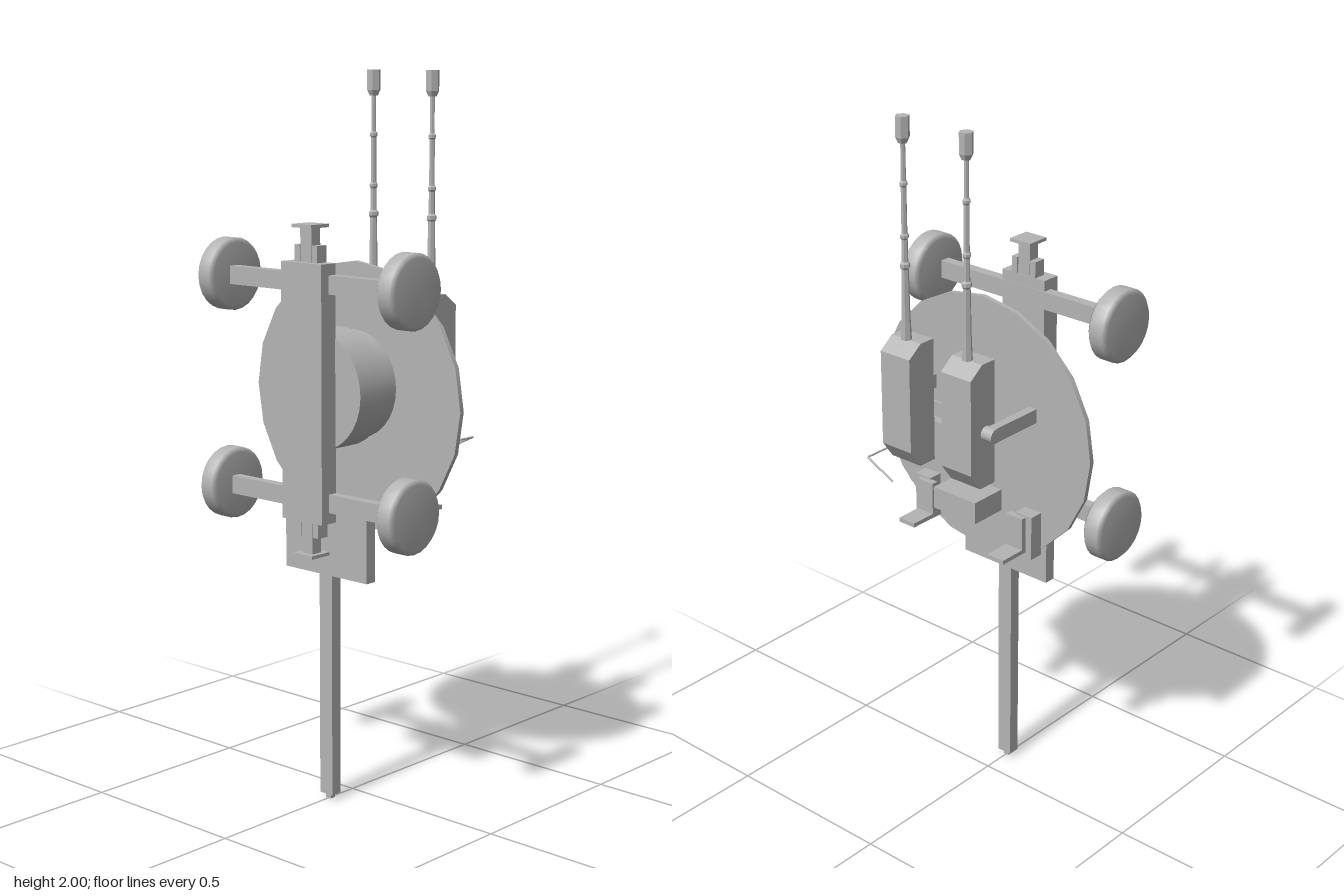
import * as THREE from 'three';

const grey = new THREE.MeshStandardMaterial({ color: 0xb4b4b4 });
grey.name = 'grey';

export function createModel() {
  const root = new THREE.Group();
  root.name = 'carriageWithPlatform';

  const add = (name, geo) => {
    const m = new THREE.Mesh(geo, grey);
    m.name = name;
    root.add(m);
    return m;
  };
  // Box given by its limits on each axis
  const box = (name, x0, x1, y0, y1, z0, z1) => {
    const m = add(name, new THREE.BoxGeometry(Math.abs(x1 - x0), y1 - y0, z1 - z0));
    m.position.set((x0 + x1) / 2, (y0 + y1) / 2, (z0 + z1) / 2);
    return m;
  };
  // Drum lying along z
  const drum = (name, r, y, z0, z1, seg) => {
    const m = add(name, new THREE.CylinderGeometry(r, r, z1 - z0, seg).rotateX(Math.PI / 2));
    m.position.set(0, y, (z0 + z1) / 2);
  };
  const points = (list) => list.map(([a, b]) => new THREE.Vector2(a, b));

  // Chassis beam
  box('chassisBeam', -0.073, 0.073, 0.81, 1.505, 0.145, 0.2);

  // Axles and wheels
  const wheelProfile = points([
    [0, -0.031], [0.088, -0.031], [0.1, -0.02], [0.1, 0.02], [0.088, 0.031], [0, 0.031],
  ]);
  for (const y of [1.45, 0.865]) {
    box('axle', -0.3, 0.3, y - 0.025, y + 0.025, 0.143, 0.173);
    for (const s of [-1, 1]) {
      const wheel = add('wheel', new THREE.LatheGeometry(wheelProfile, 24).rotateZ(Math.PI / 2));
      wheel.position.set(s * 0.326, y, 0.143);
    }
  }

  // Couplers at both ends of the beam
  for (const [end, d] of [[1.505, 1], [0.81, -1]]) {
    const span = (a, b) => [end + d * a, end + d * b].sort((p, q) => p - q);
    box('couplerPlate', -0.035, 0.035, ...span(0.091, 0.1), 0.13, 0.198);
    box('couplerStem', -0.02, 0.02, ...span(0, 0.091), 0.147, 0.181);
    for (const s of [-1, 1]) {
      box('couplerProng', s * 0.022, s * 0.041, ...span(0, 0.045), 0.145, 0.181);
    }
  }

  // Turntable and platform
  drum('turntableBase', 0.163, 1.16, 0.047, 0.147, 32);
  drum('turntableNeck', 0.149, 1.16, -0.012, 0.047, 32);
  drum('platform', 0.372, 1.123, -0.024, -0.01, 20);

  // Tow plate and long drawbar
  box('towPlate', -0.15, 0.15, 0.645, 0.833, 0.074, 0.108);
  box('drawbar', -0.023, 0.023, 0.015, 0.645, 0.074, 0.108);
  box('drawbarTip', -0.009, 0.009, 0, 0.015, 0.083, 0.099);

  // Chamfered pods, rods, support arms and seats on each side
  const podShape = new THREE.Shape(points([
    [-0.155, 1.05], [-0.155, 1.4], [-0.204, 1.4], [-0.248, 1.367], [-0.248, 1.1], [-0.212, 1.05],
  ]));
  const rodProfile = points([
    [0, 1.4], [0.015, 1.4], [0.012, 1.47], [0.01, 1.595], [0.014, 1.6], [0.014, 1.61],
    [0.009, 1.615], [0.0085, 1.675], [0.0115, 1.68], [0.0115, 1.687], [0.008, 1.692],
    [0.0075, 1.815], [0.011, 1.82], [0.011, 1.827], [0.007, 1.832], [0.0065, 1.93],
    [0.012, 1.93], [0.019, 1.945], [0.019, 2], [0, 2],
  ]);
  for (const s of [-1, 1]) {
    const pod = add('pod', new THREE.ExtrudeGeometry(podShape, { depth: 0.102, bevelEnabled: false })
      .translate(0, 0, -0.051).rotateY(-Math.PI / 2));
    pod.position.x = s * 0.106;

    const rodGeo = new THREE.LatheGeometry(rodProfile, 6).rotateY(Math.PI / 2).toNonIndexed();
    rodGeo.computeVertexNormals();
    add('rod', rodGeo).position.set(s * 0.106, 0, -0.203);

    box('supportArm', s * 0.165, s * 0.19, 1.185, 1.225, -0.19, -0.022);
    const pivot = add('armPivot', new THREE.CylinderGeometry(0.02, 0.02, 0.036, 16).rotateZ(Math.PI / 2));
    pivot.position.set(s * 0.174, 1.205, -0.19);

    box('seatBracket', s * 0.155, s * 0.21, 0.797, 0.925, -0.065, -0.022);
    box('seatBack', s * 0.134, s * 0.19, 0.825, 0.92, -0.08, -0.06);
    box('seatPan', s * 0.134, s * 0.19, 0.814, 0.826, -0.157, -0.06);
  }

  // Boxes fixed to the platform
  box('centreBox', -0.075, 0.075, 0.89, 0.953, -0.139, -0.03);
  box('controlBox', 0.1, 0.185, 1.03, 1.1, -0.056, -0.022);
  box('controlPlate', 0.115, 0.225, 1.02, 1.145, -0.031, -0.022);

  // Bent handle rod
  const bends = [[0.25, 1.015, -0.015], [0.25, 1.015, -0.214], [0.155, 0.97, -0.214]]
    .map((p) => new THREE.Vector3(...p));
  for (let i = 0; i < 2; i++) {
    const path = new THREE.LineCurve3(bends[i], bends[i + 1]);
    add('handleRod', new THREE.TubeGeometry(path, 1, 0.003, 6));
  }

  return root;
}
